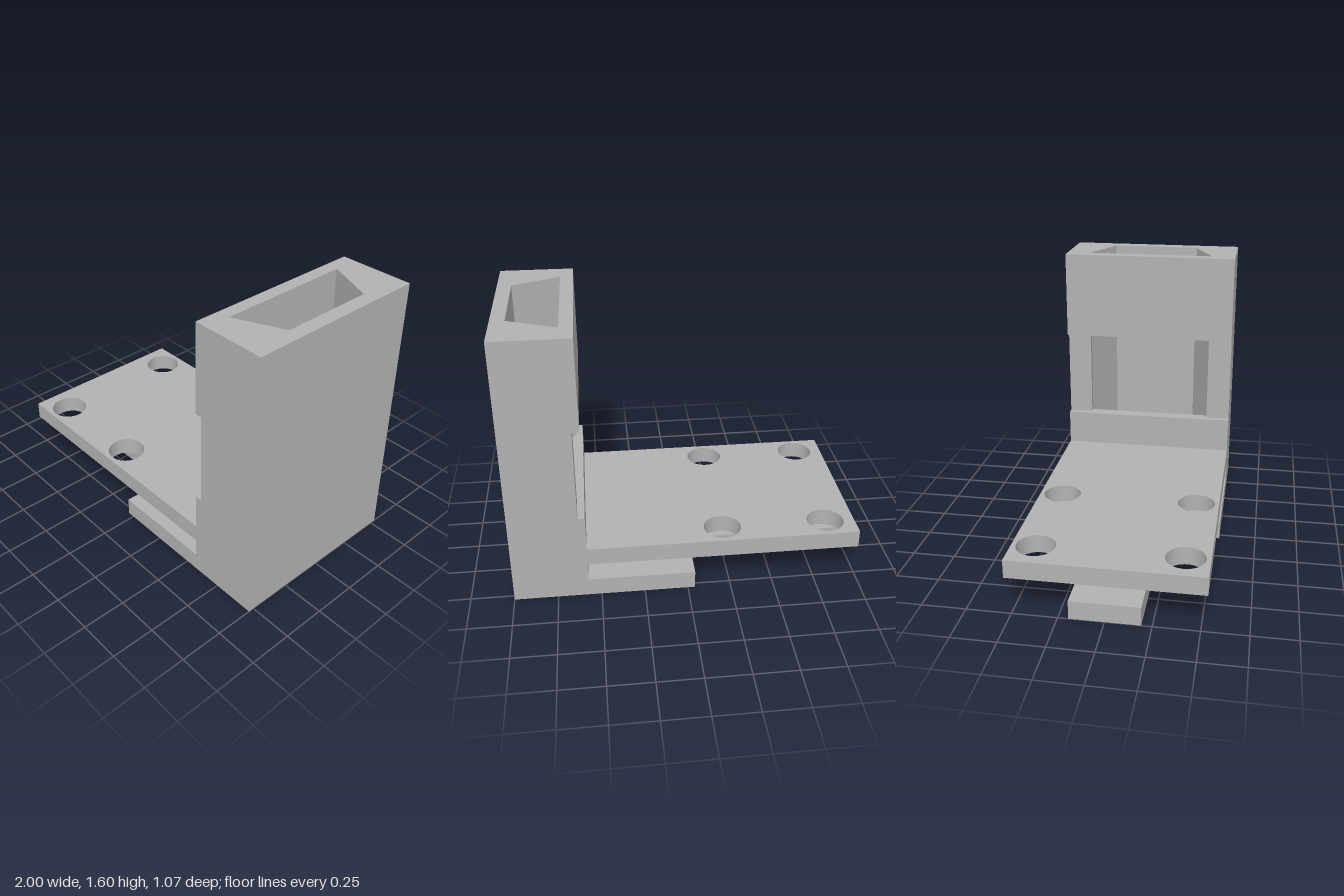
import * as THREE from 'three';

// Plan outline from [x, z] pairs
const outline = (pts, Type = THREE.Shape) =>
  new Type(pts.map(([x, z]) => new THREE.Vector2(x, -z)));

const rect = (x0, x1, z) => [[x0, z], [x1, z], [x1, -z], [x0, -z]];

export function createModel() {
  const group = new THREE.Group();
  const grey = new THREE.MeshStandardMaterial({ color: 0xb2b2b2 });
  grey.name = 'grey';

  const W = 0.533; // half depth
  const xWall = 0.573; // inner face of the column

  // Raise a plan shape from y0 to y1
  function slab(name, shape, y0, y1) {
    const geo = new THREE.ExtrudeGeometry(shape, {
      depth: y1 - y0, bevelEnabled: false, curveSegments: 32,
    });
    geo.rotateX(-Math.PI / 2);
    geo.translate(0, y0, 0);
    const mesh = new THREE.Mesh(geo, grey);
    mesh.name = name;
    group.add(mesh);
  }

  // Hollow column with a tapered shaft
  const shaft = [[0.647, 0.387], [0.92, 0.268], [0.92, -0.268], [0.647, -0.387]];
  const columnPlan = outline(rect(xWall, 1, W));
  columnPlan.holes.push(outline(shaft, THREE.Path));
  slab('columnBase', columnPlan, 0, 0.533);
  slab('columnTop', columnPlan, 1.073, 1.6);

  // Recessed middle, open into the shaft
  const middlePlan = outline([
    [0.613, W], [1, W], [1, -W], [0.613, -W],
    [0.613, -0.387], ...shaft.slice().reverse(), [0.613, 0.387],
  ]);
  slab('columnMiddle', middlePlan, 0.533, 1.073);

  // Upper plate with four bolt holes
  const platePlan = outline(rect(-1, xWall, W));
  for (const x of [-0.828, -0.216]) {
    for (const z of [-0.4, 0.4]) {
      const hole = new THREE.Path();
      hole.absarc(x, z, 0.108, 0, Math.PI * 2, true);
      platePlan.holes.push(hole);
    }
  }
  slab('upperPlate', platePlan, 0.215, 0.32);

  // Lower plate narrowing to a tongue
  const xStep = -0.042, tongue = 0.193;
  slab('lowerPlate', outline([
    [xWall, W], [xWall, -W], [xStep, -W], [xStep, -tongue],
    [-1, -tongue], [-1, tongue], [xStep, tongue], [xStep, W],
  ]), 0, 0.108);

  return group;
}
